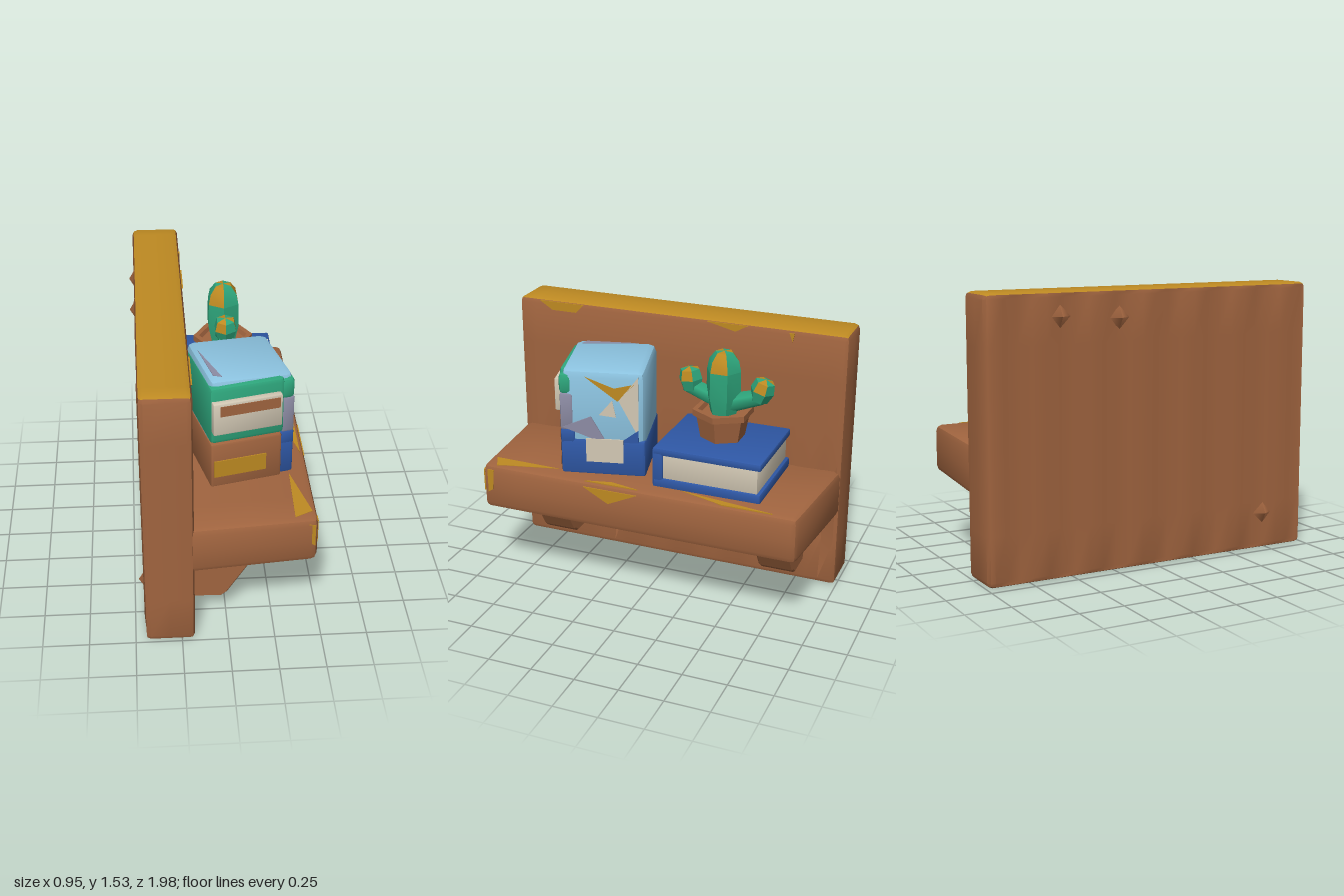
import * as THREE from 'three';
import { toCreasedNormals } from 'three/addons/utils/BufferGeometryUtils.js';

const paint = (name, color) => {
  const m = new THREE.MeshStandardMaterial({ color });
  m.name = name;
  return m;
};

export function createModel() {
  const model = new THREE.Group();
  const brown = paint('brown wood', 0xa0643f);
  const gold = paint('gold', 0xbe8a22);
  const blue = paint('deep blue', 0x2f58a6);
  const sky = paint('sky blue', 0x8cc3e0);
  const green = paint('green', 0x2ea67c);
  const cream = paint('cream', 0xd2c8b4);
  const mauve = paint('grey mauve', 0x8d8ca4);

  const add = (parent, name, geo, mat) => {
    const mesh = new THREE.Mesh(geo, mat);
    mesh.name = name;
    parent.add(mesh);
    return mesh;
  };

  // Bevelled block between two corners, with an optional rule that moves its vertices
  const block = (parent, name, lo, hi, mat, bevel = 0.01, seg = [3, 3, 3], rule) => {
    const size = lo.map((v, i) => hi[i] - v);
    const geo = new THREE.BoxGeometry(...size, ...seg);
    const pos = geo.attributes.position;
    for (let i = 0; i < pos.count; i++) {
      const p = [pos.getX(i), pos.getY(i), pos.getZ(i)];
      const inner = p.map((v, a) => {
        const k = Math.round((v / size[a] + 0.5) * seg[a]);
        const h = size[a] / 2 - bevel;
        const t = THREE.MathUtils.clamp((k - 1) / (seg[a] - 2), 0, 1);
        return -h + 2 * h * t;
      });
      const d = new THREE.Vector3(...p.map((v, a) => {
        const k = Math.round((v / size[a] + 0.5) * seg[a]);
        return k === 0 ? -1 : k === seg[a] ? 1 : 0;
      })).setLength(bevel);
      const q = new THREE.Vector3(...inner).add(d);
      if (rule) rule(q);
      pos.setXYZ(i, q.x, q.y, q.z);
    }
    const mesh = add(parent, name, toCreasedNormals(geo, 0.6), mat);
    mesh.position.set(...lo.map((v, i) => (v + hi[i]) / 2));
    return mesh;
  };

  // Thin painted plate; points are (z,y) for axis x, (x,z) for axis y, (x,y) for axis z
  const plate = (parent, name, axis, at, pts, mat) => {
    const shape = new THREE.Shape(pts.map(([a, b]) =>
      new THREE.Vector2(axis === 'x' ? -a : a, axis === 'y' ? -b : b)));
    const geo = new THREE.ExtrudeGeometry(shape, { depth: 0.008, bevelEnabled: false });
    const mesh = add(parent, name, geo, mat);
    if (axis === 'x') mesh.rotation.y = Math.PI / 2;
    if (axis === 'y') mesh.rotation.x = -Math.PI / 2;
    mesh.position[axis] = at;
  };
  const rect = (a0, b0, a1, b1) => [[a0, b0], [a1, b0], [a1, b1], [a0, b1]];

  // Wall slab: gold top, rippled back, grooves in the front below the shelf
  block(model, 'wallPanel', [-0.45, 0, -1], [-0.18, 1.53, 1],
    [brown, brown, gold, brown, brown, brown], 0.03, [4, 8, 26], (p) => {
      if (p.x > 0.134 && p.y < -0.2 && p.y > -0.7 && Math.abs(p.z) < 0.92)
        p.x -= 0.02 + 0.02 * Math.sin(p.z * 19);
      if (p.x < -0.134) p.x += 0.006 + 0.006 * Math.sin(p.z * 21);
      if (Math.abs(p.z) > 0.96) p.z -= Math.sign(p.z) * 0.008 * (1 + Math.sin(p.x * 30));
    });
  [[[0.86, 1.52], [0.58, 1.52], [0.63, 1.47], [0.78, 1.47]],
    [[-0.18, 1.52], [-0.42, 1.52], [-0.35, 1.48]],
    [[-0.66, 1.51], [-0.69, 1.51], [-0.68, 1.46]]].forEach((pts) =>
    plate(model, 'wallGoldChip', 'x', -0.183, pts, gold));

  // Small splinters on the back of the wall
  [[1.4, -0.57], [1.38, -0.22], [0.21, 0.72]].forEach(([y, z]) => {
    const chip = add(model, 'backSplinter', new THREE.ConeGeometry(0.07, 0.04, 4), brown);
    chip.rotation.z = Math.PI / 2;
    chip.position.set(-0.455, y, z);
  });

  // Shelf, narrowing away from the wall
  block(model, 'shelf', [-0.23, 0.45, -0.99], [0.47, 0.725, 0.99], brown, 0.035, [4, 4, 12], (p) => {
    p.z *= 1 - 0.06 * (p.x + 0.35) / 0.7;
    if (p.y < 0) p.y += 0.012 * (p.x + 0.35);
  });
  plate(model, 'shelfGoldEdge', 'x', 0.464, [[0.3, 0.7], [0.15, 0.62], [-0.02, 0.7]], gold);
  plate(model, 'shelfGoldEdge', 'x', 0.464, [[0.9, 0.7], [0.86, 0.7], [0.87, 0.58], [0.9, 0.56]], gold);
  plate(model, 'shelfGoldEnd', 'z', 0.925, [[0.42, 0.7], [0.455, 0.69], [0.455, 0.56], [0.425, 0.58]], gold);
  plate(model, 'shelfGoldTop', 'y', 0.719, [[0.445, -0.79], [0.445, -0.5], [0.365, -0.24]], gold);
  plate(model, 'shelfGoldTop', 'y', 0.719, [[0.36, 0.5], [0.445, 0.85], [0.35, 0.9]], gold);
  plate(model, 'shelfGoldTop', 'y', 0.719, [[0.445, 0.3], [0.41, 0.15], [0.445, -0.02]], gold);

  // Brackets below the shelf
  const bracketShape = new THREE.Shape([[-0.24, 0.47], [-0.24, 0.14], [-0.03, 0.135], [0, 0.16],
    [0.14, 0.38], [0.155, 0.47]].map(([x, y]) => new THREE.Vector2(x, y)));
  const bracketGeo = new THREE.ExtrudeGeometry(bracketShape,
    { depth: 0.19, bevelThickness: 0.01, bevelSize: 0.008, bevelSegments: 1 });
  [0.595, -0.785].forEach((z) => {
    add(model, 'bracket', bracketGeo, brown).position.z = z;
  });

  // Lying book: two covers, spine and pages
  const book = new THREE.Group();
  book.name = 'lyingBook';
  model.add(book);
  block(book, 'lowerCover', [-0.18, 0.715, -0.69], [0.36, 0.775, -0.07], blue);
  block(book, 'upperCover', [-0.18, 0.91, -0.69], [0.36, 0.952, -0.07], blue);
  block(book, 'spine', [-0.18, 0.73, -0.13], [0.36, 0.94, -0.068], blue);
  block(book, 'pages', [-0.17, 0.76, -0.67], [0.35, 0.925, -0.12], cream, 0.004);

  // Plant pot
  const plant = new THREE.Group();
  plant.name = 'pottedCactus';
  plant.position.set(0.06, 0.95, -0.37);
  model.add(plant);
  const lathe = (pts, sides, start = 0, length = Math.PI * 2) => toCreasedNormals(
    new THREE.LatheGeometry(pts.map(([x, y]) => new THREE.Vector2(x, y)), sides, start, length), 0.6);
  const pot = add(plant, 'pot', lathe([[0, 0], [0.125, 0], [0.15, 0.13], [0.172, 0.135],
    [0.172, 0.17], [0.14, 0.17], [0.13, 0.145], [0, 0.145]], 6), brown);
  pot.rotation.y = Math.PI / 2;

  // Cactus limb: green body with alternating gold and green facets at the tip
  const limb = (name, body, tip, sides, position, tilt) => {
    const group = new THREE.Group();
    group.name = name;
    add(group, 'limbBody', lathe(body, sides), green);
    const step = (Math.PI * 2) / sides;
    for (let i = 0; i < sides; i++)
      add(group, 'limbTip', lathe(tip, 1, i * step, step), i % 2 ? gold : green);
    group.position.set(...position);
    group.rotation.x = tilt;
    plant.add(group);
  };
  limb('cactusTrunk', [[0, 0], [0.075, 0.01], [0.1, 0.12], [0.098, 0.26]],
    [[0.098, 0.26], [0.085, 0.32], [0.05, 0.365], [0, 0.37]], 6, [0, 0.13, 0], 0);
  const armBody = [[0, 0], [0.05, 0.01], [0.068, 0.07]];
  const armTip = [[0.068, 0.07], [0.055, 0.125], [0, 0.14]];
  limb('leftArm', armBody, armTip, 6, [0, 0.245, 0.185], 0.1);
  limb('rightArm', armBody, armTip, 6, [0, 0.235, -0.2], -0.3);
  [[1, 0.27, 0.2], [-1, 0.255, 0.2]].forEach(([s, y, z]) => {
    const joint = add(plant, 'armJoint', new THREE.CylinderGeometry(0.045, 0.055, 0.18, 6), green);
    joint.position.set(0, y - 0.02, s * (z - 0.07));
    joint.rotation.x = s * 1.25;
  });

  // Turned box of coloured blocks
  const box = new THREE.Group();
  box.name = 'paintedBox';
  box.position.set(-0.18, 0, 0.12);
  box.rotation.y = 0.24;
  model.add(box);
  block(box, 'boxBody', [0, 0.75, 0], [0.46, 1.355, 0.465], sky, 0.04, [3, 3, 3], (p) => {
    if (p.y > 0.25 && p.x > 0.15) p.y -= 0.02;
  });
  block(box, 'boxBase', [0, 0.715, -0.004], [0.466, 0.935, 0.475], blue, 0.02);
  block(box, 'greenFront', [-0.008, 0.985, 0.04], [0.405, 1.325, 0.485], green, 0.025);
  block(box, 'greenCorner', [0.38, 1.19, 0.4], [0.464, 1.31, 0.48], green, 0.025);
  block(box, 'mauveCorner', [0.39, 0.98, 0.4], [0.465, 1.2, 0.475], mauve, 0.015);
  block(box, 'blueCorner', [0.38, 0.9, 0.39], [0.466, 0.99, 0.475], blue, 0.015);
  block(box, 'woodFront', [-0.008, 0.715, 0.04], [0.39, 0.99, 0.495], brown, 0.015);
  plate(box, 'goldLabel', 'z', 0.493, rect(0.01, 0.785, 0.3, 0.885), gold);
  block(box, 'creamPanel', [0, 1.06, 0.46], [0.38, 1.25, 0.52], cream, 0.008);
  plate(box, 'panelSlot', 'z', 0.516, rect(0.035, 1.175, 0.365, 1.235), brown);

  // Painted patches on the side and top of the box
  plate(box, 'mauvePatch', 'x', 0.461, [[0.46, 1.0], [0.3, 1.07], [0.21, 0.91]], mauve);
  plate(box, 'goldPatch', 'x', 0.455, [[0.33, 1.3], [0.17, 1.24], [0.05, 1.27], [0.15, 1.165]], gold);
  plate(box, 'creamPatch', 'x', 0.455, [[0.18, 1.17], [0.255, 1.08], [0.16, 1.07]], cream);
  plate(box, 'creamEdge', 'x', 0.455, [[0.035, 1.31], [0.145, 1.17], [0.035, 0.96]], cream);
  plate(box, 'blueWedge', 'x', 0.455, [[0.035, 0.92], [0.14, 0.92], [0.035, 1.0]], blue);
  plate(box, 'sideLabel', 'x', 0.463, rect(0.12, 0.8, 0.33, 0.94), cream);
  plate(box, 'mauveTop', 'y', 1.349, [[0.035, 0.12], [0.075, 0.42], [0.035, 0.4]], mauve);

  return model;
}
